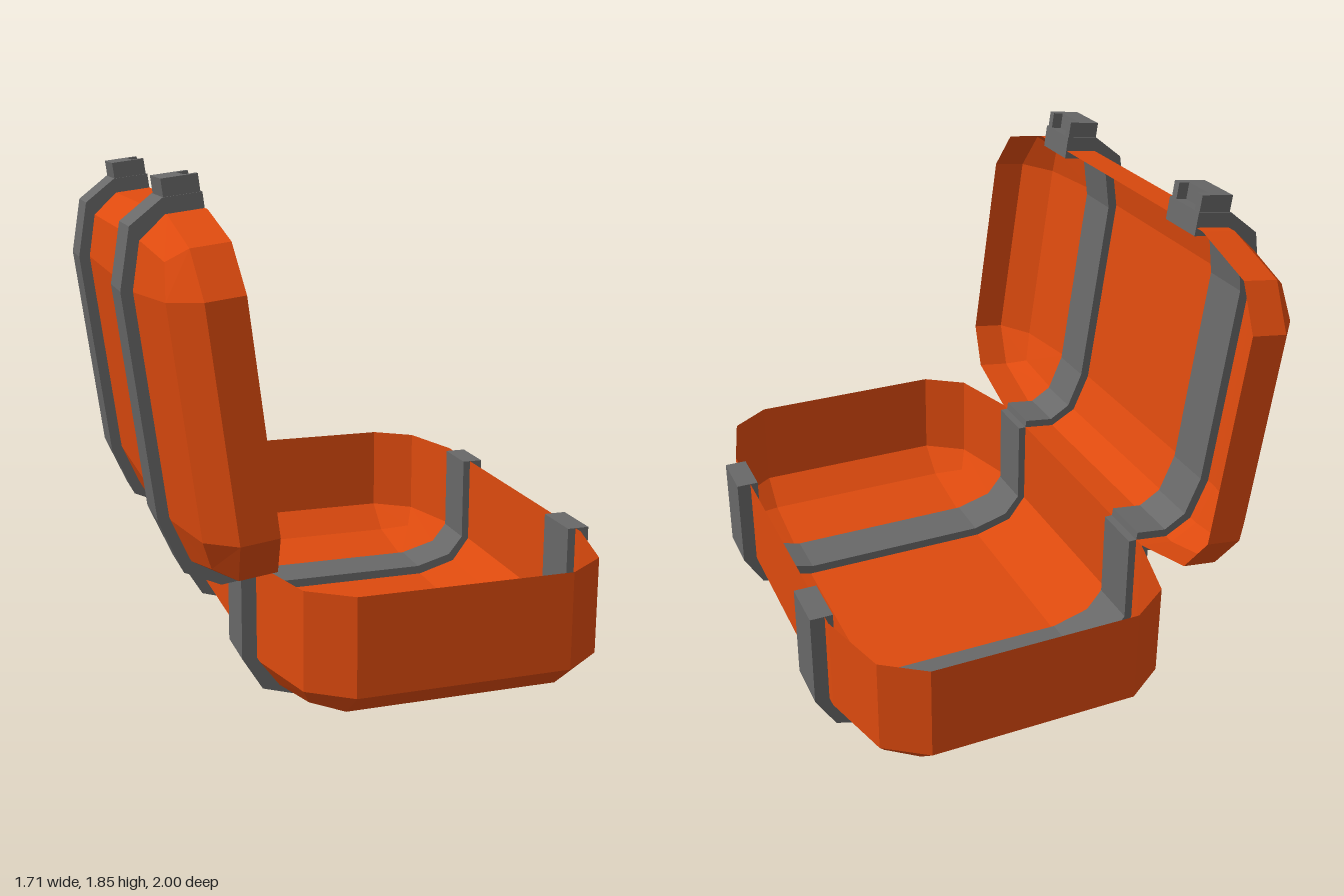
import * as THREE from 'three';

const WIDTH = 1.22, HX = 0.385, HZ = 0.62; // hinge-to-rim width, flat panel half sizes

// Corner sections: [x, z, y] offsets from the flat panel's corner
const WALL = [[0.225, 0, 0], [0.15, 0.275, 0], [0, 0.38, 0]];
const BEVEL = [[0.155, 0, 0.095], [0.113, 0.215, 0.07], [0, 0.27, 0.095]];
const FLAT = [[0, 0, 0.14], [0, 0, 0.14], [0, 0, 0.14]];

// Mirrors a corner section into a closed ring at a given depth
function ring(section, depth, dir) {
  const pts = [];
  [[1, 1], [-1, 1], [-1, -1], [1, -1]].forEach(([sx, sz], q) => {
    const order = q % 2 ? [...section].reverse() : section;
    for (const [x, z, y] of order) {
      pts.push([WIDTH / 2 + sx * (HX + x), dir * (depth + y), sz * (HZ + z)]);
    }
  });
  return pts;
}

// Open tray with its rim on y = 0, growing along dir * y
function shellGeometry(wall, dir) {
  const rings = [ring(WALL, 0, dir), ring(WALL, wall, dir), ring(BEVEL, wall, dir), ring(FLAT, wall, dir)];
  const pos = [];
  const tri = (a, b, c) => {
    const ab = new THREE.Vector3(...b).sub(new THREE.Vector3(...a));
    const ac = new THREE.Vector3(...c).sub(new THREE.Vector3(...a));
    if (ab.cross(ac).length() < 1e-7) return;
    pos.push(...a, ...(dir > 0 ? b : c), ...(dir > 0 ? c : b));
  };
  for (let k = 0; k < 3; k++) {
    for (let i = 0; i < 12; i++) {
      const j = (i + 1) % 12;
      tri(rings[k][i], rings[k + 1][i], rings[k + 1][j]);
      tri(rings[k][i], rings[k + 1][j], rings[k][j]);
    }
  }
  const centre = [WIDTH / 2, dir * (wall + 0.14), 0];
  for (let i = 0; i < 12; i++) tri(centre, rings[3][(i + 1) % 12], rings[3][i]);
  const geo = new THREE.BufferGeometry();
  geo.setAttribute('position', new THREE.Float32BufferAttribute(pos, 3));
  geo.computeVertexNormals();
  return geo;
}

// Band that wraps the shell, standing proud both outside and inside
function strapGeometry(wall, dir) {
  const half = (pts) => [...pts, ...[...pts].reverse().map(([x, y]) => [WIDTH - x, y])];
  const outer = half([[-0.053, 0], [-0.053, wall], [0.02, wall + 0.12], [0.22, wall + 0.18]]);
  const inner = half([[0.03, 0], [0.03, wall - 0.01], [0.09, wall + 0.065], [0.235, wall + 0.105]]);
  const shape = new THREE.Shape([...outer, ...inner.reverse()].map(([x, y]) => new THREE.Vector2(x, dir * y)));
  return new THREE.ExtrudeGeometry(shape, { depth: 0.19, bevelEnabled: false }).translate(0, 0, -0.095);
}

export function createModel() {
  const orange = new THREE.MeshStandardMaterial({ color: 0xdd4a0e, flatShading: true, side: THREE.DoubleSide });
  orange.name = 'orange shell';
  const grey = new THREE.MeshStandardMaterial({ color: 0x686868, flatShading: true });
  grey.name = 'grey fittings';

  const add = (parent, geo, mat, name, z = 0) => {
    const mesh = new THREE.Mesh(geo, mat);
    mesh.name = name;
    mesh.position.z = z;
    parent.add(mesh);
  };

  // A tray half with its two straps, pivoting on the hinge line
  const half = (name, wall, dir) => {
    const group = new THREE.Group();
    group.name = name;
    group.position.set(-0.42, 0.533, 0);
    add(group, shellGeometry(wall, dir), orange, name + 'Shell');
    for (const z of [-0.485, 0.485]) add(group, strapGeometry(wall, dir), grey, name + 'Strap', z);
    return group;
  };

  const base = half('base', 0.352, -1);
  const lid = half('lid', 0.13, 1);
  lid.rotation.z = THREE.MathUtils.degToRad(97.3);

  // Latches on the free edge of the lid, notched on the rim side
  const latchShape = new THREE.Shape([
    [0.005, -0.09], [0.127, -0.09], [0.127, 0.09], [0.005, 0.09],
    [0.005, 0.06], [0.045, 0.06], [0.045, -0.06], [0.005, -0.06],
  ].map(([y, z]) => new THREE.Vector2(y, z)));
  const latchGeo = new THREE.ExtrudeGeometry(latchShape, { depth: 0.082, bevelEnabled: false });
  // shape x -> y, shape y -> z, depth -> x
  latchGeo.applyMatrix4(new THREE.Matrix4().makeBasis(
    new THREE.Vector3(0, 1, 0), new THREE.Vector3(0, 0, 1), new THREE.Vector3(1, 0, 0)));
  latchGeo.translate(1.25, 0, 0);
  for (const z of [-0.485, 0.485]) add(lid, latchGeo, grey, 'latch', z);

  const model = new THREE.Group();
  model.name = 'openCase';
  model.add(base, lid);
  return model;
}
